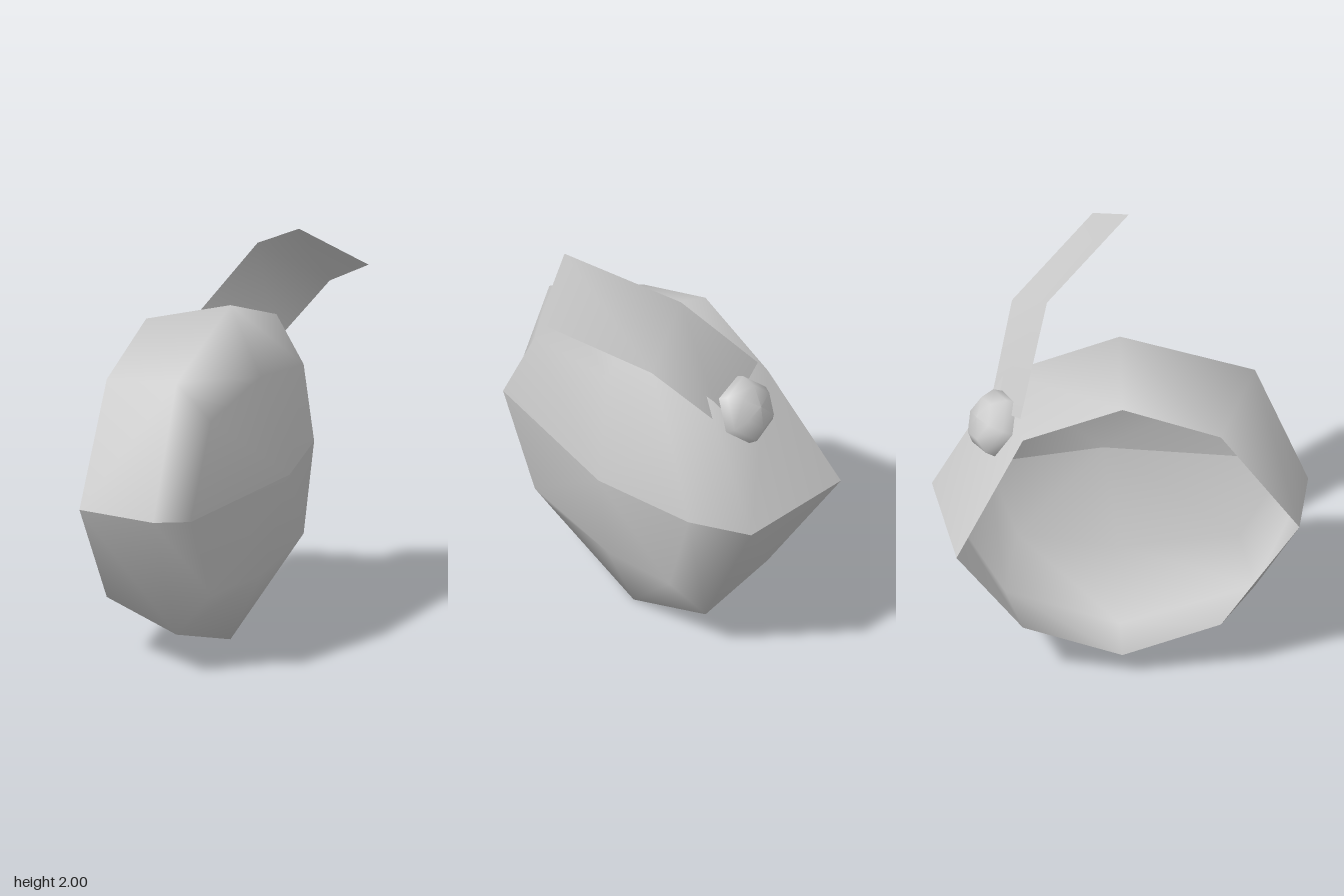
import * as THREE from 'three';

const MID = 0.79; // height of the crease between the two shell halves

// Cross-sections of one shell half, each running front -> top -> back.
// Every point is [x, height above the crease, z].
const SECTIONS = [
  [[-0.415, 0, 0.8], [-0.435, 0.515, 0.445], [-0.435, 0.675, 0], [-0.435, 0.515, -0.45], [-0.615, 0, -0.755]],
  [[-0.03, 0, 0.85], [-0.02, 0.595, 0.61], [-0.02, 0.79, 0], [-0.02, 0.6, -0.52], [-0.02, 0, -0.85]],
  [[0.12, 0, 0.77], [0.12, 0.41, 0.54], [0.13, 0.47, 0], [0.14, 0.4, -0.46], [0.135, 0, -0.59]],
];
const APEX = [0.24, 0, -0.07];

function surface(positions, index) {
  const g = new THREE.BufferGeometry();
  g.setAttribute('position', new THREE.Float32BufferAttribute(positions, 3));
  g.setIndex(index);
  g.computeVertexNormals();
  return g;
}

// One half of the open shell: side is 1 for the upper, -1 for the lower
function shellHalf(side) {
  const points = [...SECTIONS.flat(), APEX];
  const positions = points.flatMap(([x, h, z]) => [x, MID + side * h, z]);
  const index = [];
  const tri = (a, b, c) => index.push(...(side > 0 ? [a, b, c] : [a, c, b]));
  const n = 5;
  for (let c = 0; c < n - 1; c++) {
    for (let r = 0; r < SECTIONS.length - 1; r++) {
      const a = r * n + c, b = a + n;
      tri(a, b, b + 1);
      tri(a, b + 1, a + 1);
    }
    const last = (SECTIONS.length - 1) * n + c;
    tri(last, points.length - 1, last + 1);
  }
  return surface(positions, index);
}

export function createModel() {
  const model = new THREE.Group();
  const grey = new THREE.MeshStandardMaterial({ color: 0xcccccc, side: THREE.DoubleSide });
  grey.name = 'light grey';
  const add = (name, geometry) => {
    const mesh = new THREE.Mesh(geometry, grey);
    mesh.name = name;
    model.add(mesh);
    return mesh;
  };

  // Hollow shell, open towards -x
  add('upperShell', shellHalf(1));
  add('lowerShell', shellHalf(-1));

  // Bent strap rising from the back, as pairs of edge points
  const strap = [
    -0.37, 1.38, -0.46, -0.06, 1.23, -0.59,
    -0.03, 1.78, -0.33, 0.26, 1.595, -0.48,
    0.34, 2.0, 0.05, 0.615, 1.82, -0.105,
  ];
  add('strap', surface(strap, [0, 2, 1, 1, 2, 3, 2, 4, 3, 3, 4, 5]));

  // Six-sided domed stud holding the strap
  const profile = [[0.155, -0.02], [0.15, 0.03], [0.1, 0.085], [0, 0.1]].map(([r, y]) => new THREE.Vector2(r, y));
  const stud = add('stud', new THREE.LatheGeometry(profile, 6));
  stud.position.set(-0.21, 1.25, -0.57);
  stud.quaternion.setFromUnitVectors(new THREE.Vector3(0, 1, 0), new THREE.Vector3(-0.24, 0.47, -0.85).normalize());

  return model;
}
